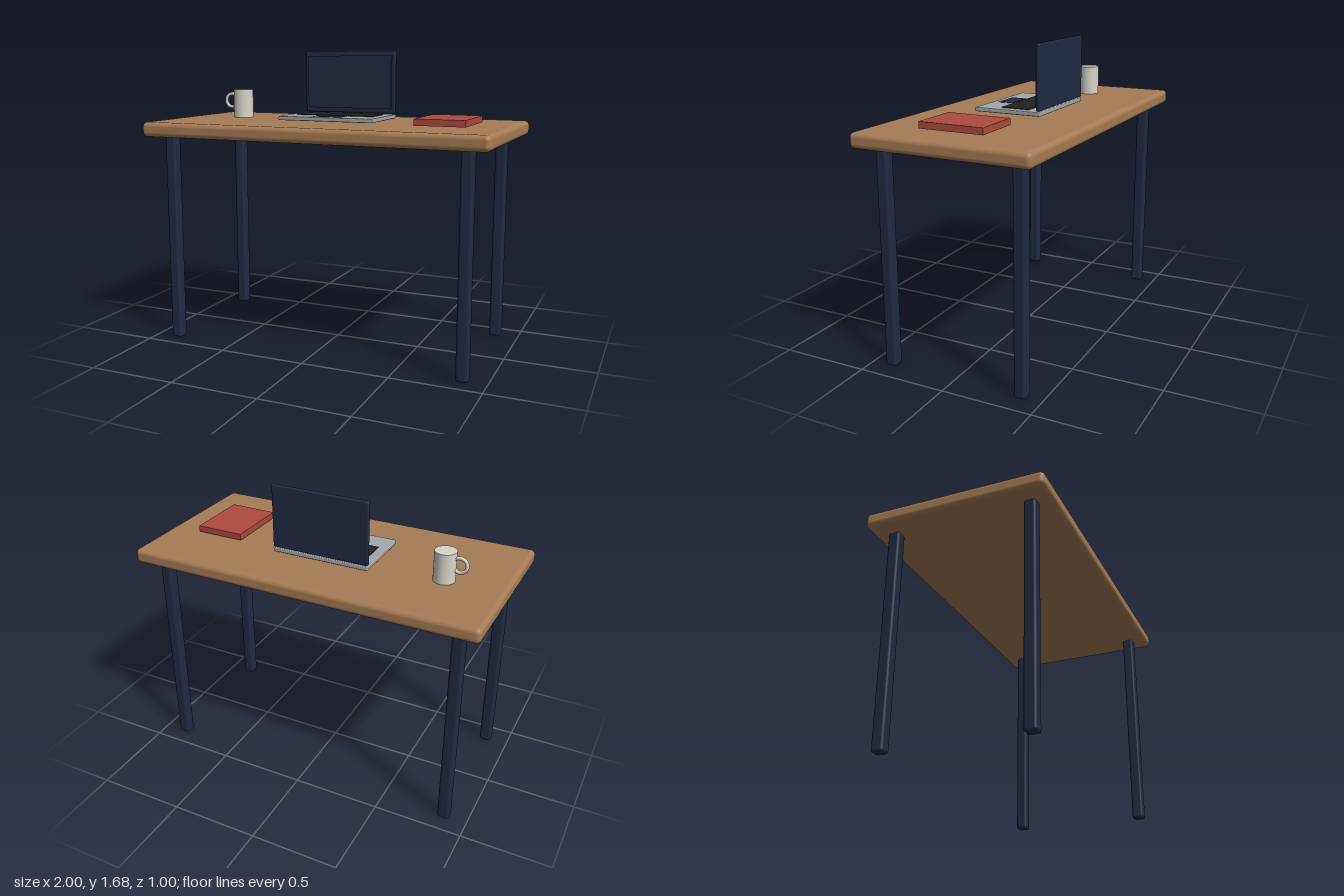
import * as THREE from 'three';
import { RoundedBoxGeometry } from 'three/addons/geometries/RoundedBoxGeometry.js';

const material = (name, color) => {
  const m = new THREE.MeshStandardMaterial({ color });
  m.name = name;
  return m;
};

export function createModel() {
  const wood = material('wood', 0xa67c55);
  const navy = material('navy', 0x1f2a44);
  const silver = material('silver', 0xa5a8aa);
  const black = material('black', 0x222222);
  const red = material('red', 0xae4a3f);
  const ceramic = material('ceramic', 0xd8d4ca);

  const add = (parent, name, geometry, mat, x, y, z) => {
    const mesh = new THREE.Mesh(geometry, mat);
    mesh.name = name;
    mesh.position.set(x, y, z);
    parent.add(mesh);
    return mesh;
  };
  const group = (parent, name, x, y, z) => {
    const g = new THREE.Group();
    g.name = name;
    g.position.set(x, y, z);
    parent.add(g);
    return g;
  };
  const box = (w, h, d) => new THREE.BoxGeometry(w, h, d);
  const rounded = (w, h, d, r) => new RoundedBoxGeometry(w, h, d, 4, r);

  const model = new THREE.Group();
  model.name = 'deskWithLaptop';

  // Table: rounded top and four legs
  const table = group(model, 'table', 0, 0, 0);
  add(table, 'tableTop', rounded(2, 0.083, 1, 0.027), wood, 0, 1.2415, 0);
  const legGeometry = rounded(0.066, 1.205, 0.066, 0.015);
  for (const sx of [-1, 1]) {
    for (const sz of [-1, 1]) {
      const name = (sz > 0 ? 'front' : 'back') + (sx > 0 ? 'Left' : 'Right') + 'Leg';
      add(table, name, legGeometry, navy, sx * 0.867, 0.6025, sz * 0.385);
    }
  }

  // Laptop: base with keyboard and touchpad, upright screen
  const laptop = group(model, 'laptop', 0, 1.295, 0);
  add(laptop, 'laptopBase', rounded(0.566, 0.023, 0.392, 0.005), silver, 0, 0.0115, -0.001);
  add(laptop, 'keyboard', box(0.47, 0.008, 0.166), black, 0, 0.023, -0.027);
  add(laptop, 'touchpad', box(0.168, 0.006, 0.09), navy, 0, 0.022, 0.112);
  add(laptop, 'screenLid', rounded(0.566, 0.358, 0.025, 0.008), navy, 0, 0.206, -0.184);
  add(laptop, 'screenPanel', box(0.524, 0.305, 0.009), navy, 0, 0.206, -0.167);

  // Book lying flat
  add(model, 'book', box(0.28, 0.036, 0.366), red, 0.664, 1.31, 0.032);

  // Mug with a ring handle
  const mug = group(model, 'mug', -0.668, 1.283, -0.086);
  add(mug, 'mugBody', new THREE.CylinderGeometry(0.059, 0.059, 0.168, 32), ceramic, 0, 0.084, 0);
  add(mug, 'mugHandle', new THREE.TorusGeometry(0.04, 0.01, 12, 32), ceramic, -0.079, 0.1, 0);

  return model;
}
